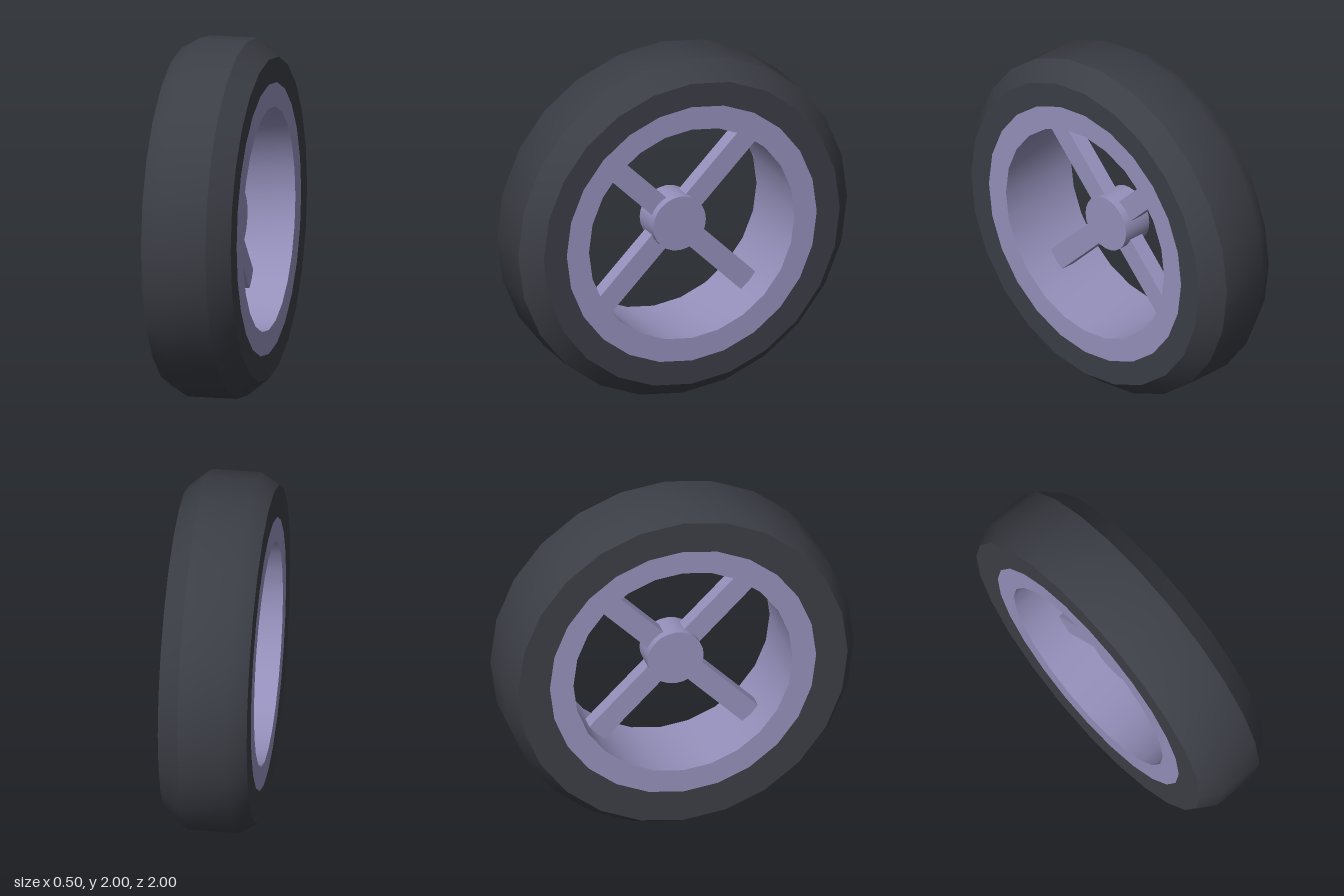
import * as THREE from 'three';
import { toCreasedNormals } from 'three/addons/utils/BufferGeometryUtils.js';

const SIDES = 24;
const CREASE = THREE.MathUtils.degToRad(35);
const rubber = new THREE.MeshStandardMaterial({ color: 0x3c3e46 });
const metal = new THREE.MeshStandardMaterial({ color: 0x9590bb });

// Turns a profile of [radius, x] pairs around the x axle.
function turned(name, profile, material) {
  const points = profile.map(([r, x]) => new THREE.Vector2(r, x));
  const geometry = new THREE.LatheGeometry(points, SIDES).rotateZ(-Math.PI / 2);
  const mesh = new THREE.Mesh(toCreasedNormals(geometry, CREASE), material);
  mesh.name = name;
  return mesh;
}

export function createModel() {
  const wheel = new THREE.Group();
  wheel.name = 'wheel';
  wheel.position.y = 1;

  // Tyre: the shoulder is wider on the +x side
  wheel.add(turned('tyre', [
    [0.76, -0.25], [0.94, -0.25], [1, -0.15],
    [1, 0.13], [0.9, 0.25], [0.76, 0.25],
  ], rubber));

  // Rim: flat side rings and a straight inner barrel
  wheel.add(turned('rim', [
    [0.76, -0.25], [0.76, 0.25], [0.625, 0.25], [0.625, -0.25], [0.76, -0.25],
  ], metal));

  // Hub
  wheel.add(turned('hub', [[0, -0.09], [0.16, -0.09], [0.16, 0.09], [0, 0.09]], metal));

  // Four diagonal spokes, from inside the hub to inside the rim
  const spokeGeometry = new THREE.BoxGeometry(0.09, 0.56, 0.125).translate(0, 0.38, 0);
  for (let i = 0; i < 4; i++) {
    const spoke = new THREE.Mesh(spokeGeometry, metal);
    spoke.name = `spoke${i + 1}`;
    spoke.rotation.x = Math.PI / 4 + (i * Math.PI) / 2;
    wheel.add(spoke);
  }

  const model = new THREE.Group();
  model.add(wheel);
  return model;
}
